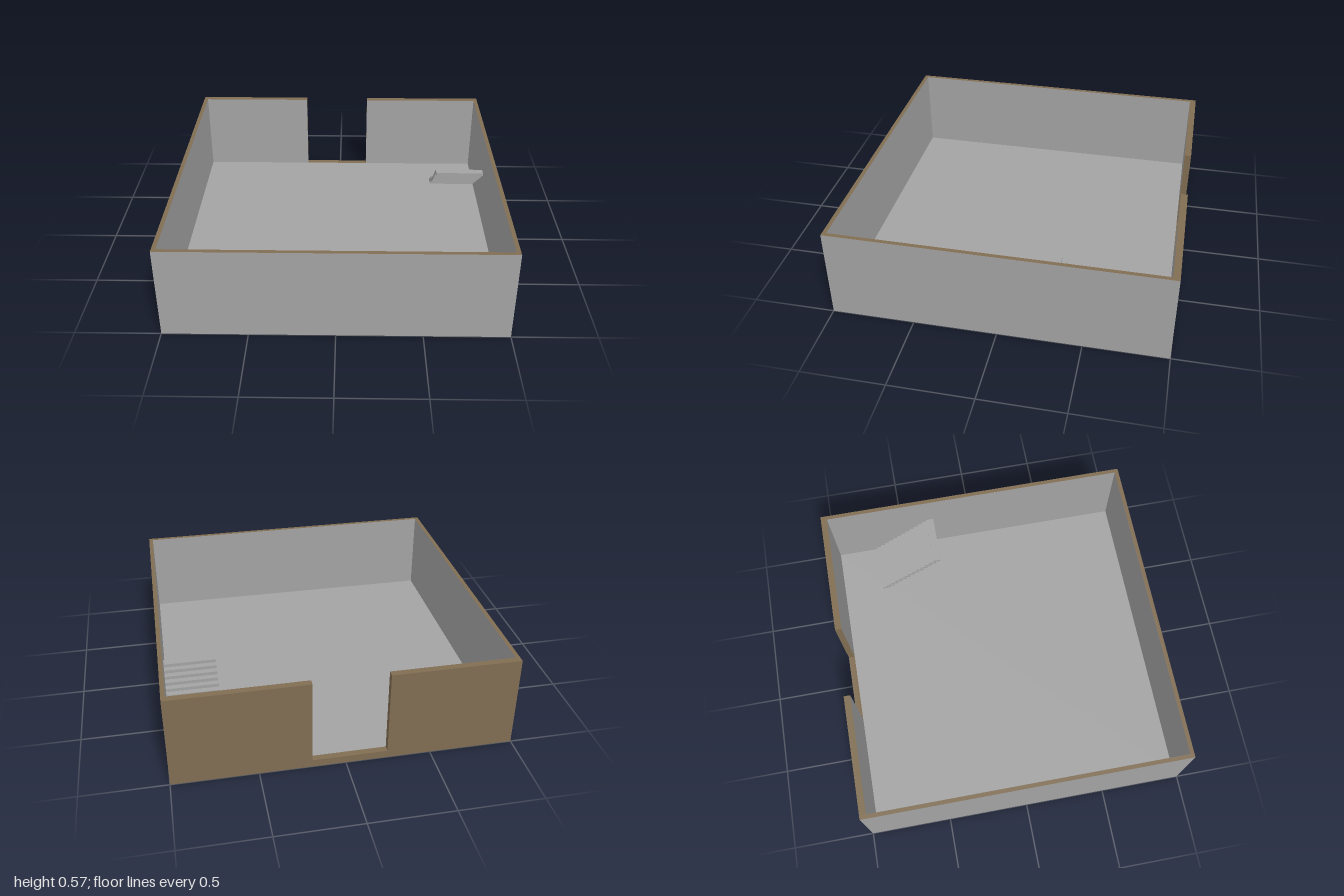
import * as THREE from 'three';

export function createModel() {
  const model = new THREE.Group();
  model.name = 'walledRoom';

  const grey = new THREE.MeshStandardMaterial({ color: 0xa3a3a3 });
  grey.name = 'plaster grey';
  const brown = new THREE.MeshStandardMaterial({ color: 0x806d52 });
  brown.name = 'earth brown';

  // Box between two corners; the listed faces are brown, the others grey
  const faces = ['+x', '-x', '+y', '-y', '+z', '-z'];
  function block(name, [x0, y0, z0], [x1, y1, z1], brownFaces = [], parent = model) {
    const geometry = new THREE.BoxGeometry(x1 - x0, y1 - y0, z1 - z0);
    const materials = faces.map((f) => (brownFaces.includes(f) ? brown : grey));
    const mesh = new THREE.Mesh(geometry, brownFaces.length ? materials : grey);
    mesh.position.set((x0 + x1) / 2, (y0 + y1) / 2, (z0 + z1) / 2);
    mesh.name = name;
    parent.add(mesh);
  }

  const height = 0.57, floorY = 0.045;
  const inner = 0.975, backZ = -0.96;
  const doorRight = -0.245, doorLeft = 0.195;

  // Floor and the sill of the doorway
  block('floor', [-inner, 0, backZ], [inner, floorY, inner]);
  block('doorSill', [-inner, 0, -1], [inner, floorY, backZ], ['+y', '-z']);

  // Side and front walls with a brown rim
  block('leftWall', [inner, 0, -1], [1, height, 1], ['+y', '-z']);
  block('rightWall', [-1, 0, -1], [-inner, height, 1], ['+y', '-z']);
  block('frontWall', [-inner, 0, inner], [inner, height, 1], ['+y']);

  // Back wall on both sides of the doorway
  const backFaces = ['+x', '-x', '+y', '-z'];
  block('backWallRight', [-inner, floorY, -1], [doorRight, height, backZ], backFaces);
  block('backWallLeft', [doorLeft, floorY, -1], [inner, height, backZ], backFaces);

  // Floating stairs along the left wall, rising towards the front
  const stairs = new THREE.Group();
  stairs.name = 'stairs';
  model.add(stairs);
  const steps = 13, pitch = 0.0313, rise = 0.0235, depth = 0.05;
  for (let i = 0; i < steps; i++) {
    const z = -0.697 + i * pitch;
    const top = floorY + (i + 1) * rise;
    block('step' + (i + 1), [0.66, top - 0.02, z], [inner, top, z + depth], [], stairs);
  }

  return model;
}
